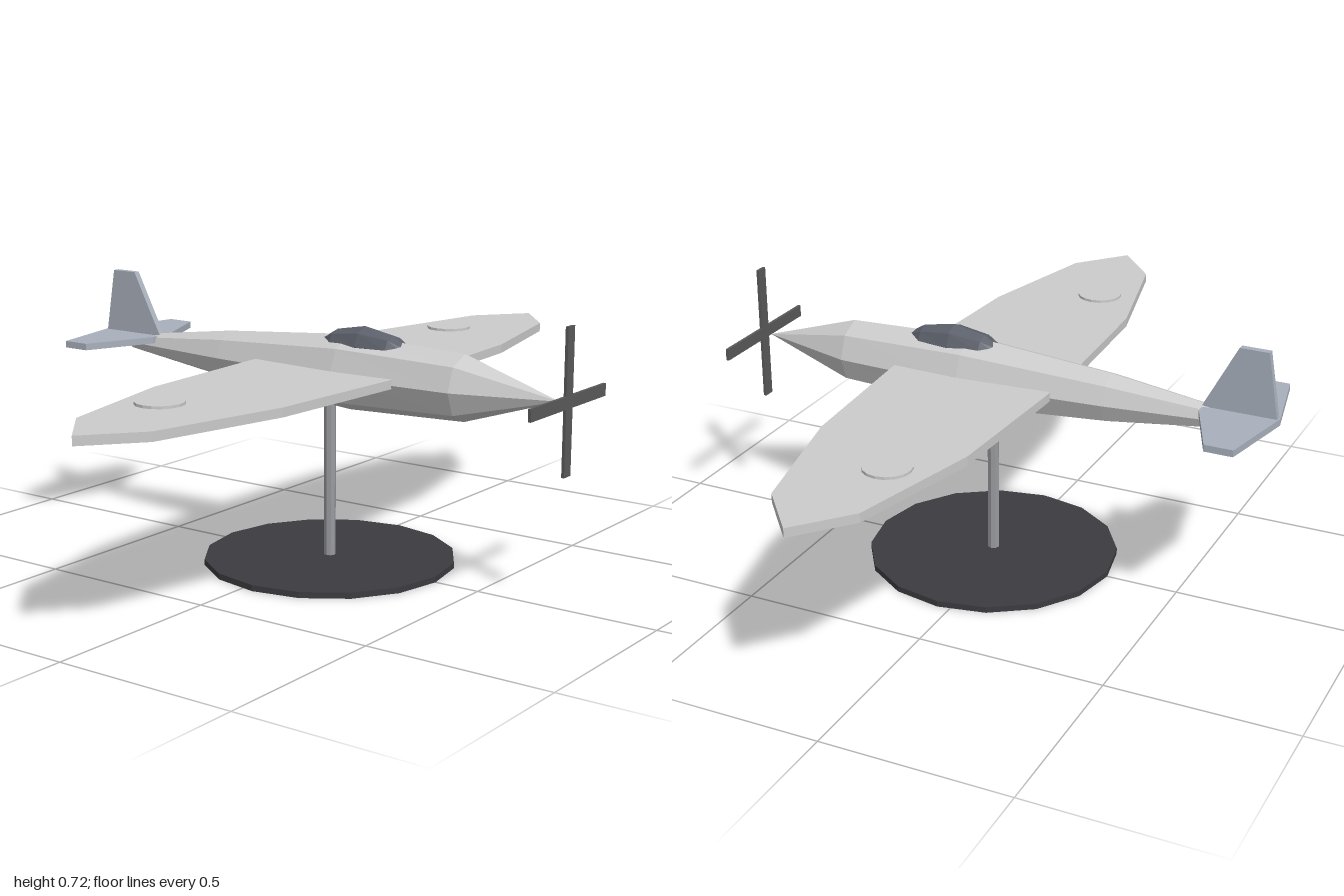
import * as THREE from 'three';

const paint = (color) =>
  new THREE.MeshStandardMaterial({ color, flatShading: true });

function addMesh(parent, name, geometry, material, x = 0, y = 0, z = 0) {
  const mesh = new THREE.Mesh(geometry, material);
  mesh.name = name;
  mesh.position.set(x, y, z);
  parent.add(mesh);
  return mesh;
}

// Octagonal body from sections [z, halfWidth, halfHeight], listed nose to tail.
function loft(sections, sides = 8) {
  const positions = [];
  const index = [];
  sections.forEach(([z, rx, ry], i) => {
    for (let j = 0; j < sides; j++) {
      const t = (j / sides) * Math.PI * 2;
      positions.push(rx * Math.cos(t), ry * Math.sin(t), z);
      if (i === sections.length - 1) continue;
      const a = i * sides + j;
      const b = i * sides + ((j + 1) % sides);
      index.push(a, a + sides, b, b, a + sides, b + sides);
    }
  });
  const geometry = new THREE.BufferGeometry();
  geometry.setAttribute('position', new THREE.Float32BufferAttribute(positions, 3));
  geometry.setIndex(index);
  const flat = geometry.toNonIndexed();
  flat.computeVertexNormals();
  return flat;
}

function plate(points, depth) {
  const shape = new THREE.Shape(points.map(([a, b]) => new THREE.Vector2(a, b)));
  return new THREE.ExtrudeGeometry(shape, { depth, bevelEnabled: false });
}

// Flat plate mirrored across x = 0; points [x, z], its top face at local y = 0.
function mirroredPlate(half, depth) {
  const other = half.filter(([x]) => x > 0).reverse().map(([x, z]) => [-x, z]);
  return plate([...half, ...other], depth).rotateX(Math.PI / 2);
}

export function createModel() {
  const model = new THREE.Group();
  model.name = 'aeroplaneOnStand';

  const grey = paint(0xcccccc);
  const tailGrey = paint(0xa9b0bc);
  const propGrey = paint(0x5a5a5a);
  const standGrey = paint(0x999a9e);
  const dark = paint(0x3c3b40);
  const glass = paint(0x5c606a);

  // Display stand
  addMesh(model, 'standBase', new THREE.CylinderGeometry(0.338, 0.338, 0.016, 16), dark, 0, 0.008, 0.035);
  addMesh(model, 'standPole', new THREE.CylinderGeometry(0.016, 0.016, 0.45, 8), standGrey, 0, 0.231, 0.035);

  // Fuselage, closed at the tail
  addMesh(model, 'fuselage', loft([
    [0.72, 0, 0],
    [0.45, 0.08, 0.087],
    [0.1, 0.094, 0.1],
    [-0.3, 0.063, 0.067],
    [-0.65, 0.019, 0.02],
    [-0.65, 0, 0],
  ]), grey, 0, 0.523, 0);

  // Canopy
  addMesh(model, 'canopy', loft([
    [0.27, 0, 0],
    [0.27, 0.022, 0.012],
    [0.235, 0.04, 0.033],
    [0.147, 0.05, 0.049],
    [0.06, 0.04, 0.033],
    [0.025, 0.022, 0.012],
    [0.025, 0, 0],
  ]), glass, 0, 0.6, 0);

  // Wing
  addMesh(model, 'wing', mirroredPlate([
    [0, 0.29], [0.1, 0.285], [0.5, 0.26], [0.865, 0.175], [1, 0.06],
    [0.865, -0.055], [0.5, -0.14], [0.1, -0.16], [0, -0.162],
  ], 0.024), grey, 0, 0.538, 0);

  // Raised discs on the wing
  for (const side of [-1, 1]) {
    addMesh(model, side > 0 ? 'leftWingDisc' : 'rightWingDisc',
      new THREE.CylinderGeometry(0.062, 0.062, 0.008, 16), grey, side * 0.638, 0.541, 0);
  }

  // Tail surfaces
  addMesh(model, 'tailplane', mirroredPlate([
    [0, -0.55], [0.035, -0.55], [0.222, -0.63], [0.222, -0.705], [0, -0.75],
  ], 0.018), tailGrey, 0, 0.55, 0);
  const fin = plate([[-0.545, 0.545], [-0.745, 0.545], [-0.715, 0.722], [-0.638, 0.722]], 0.018);
  addMesh(model, 'tailFin', fin.rotateY(-Math.PI / 2), tailGrey, 0.009, 0, 0);

  // Propeller
  const propeller = new THREE.Group();
  propeller.name = 'propeller';
  propeller.position.set(0, 0.525, 0.742);
  addMesh(propeller, 'verticalBlade', new THREE.BoxGeometry(0.032, 0.372, 0.008), propGrey);
  addMesh(propeller, 'horizontalBlade', new THREE.BoxGeometry(0.372, 0.032, 0.008), propGrey);
  model.add(propeller);

  return model;
}
